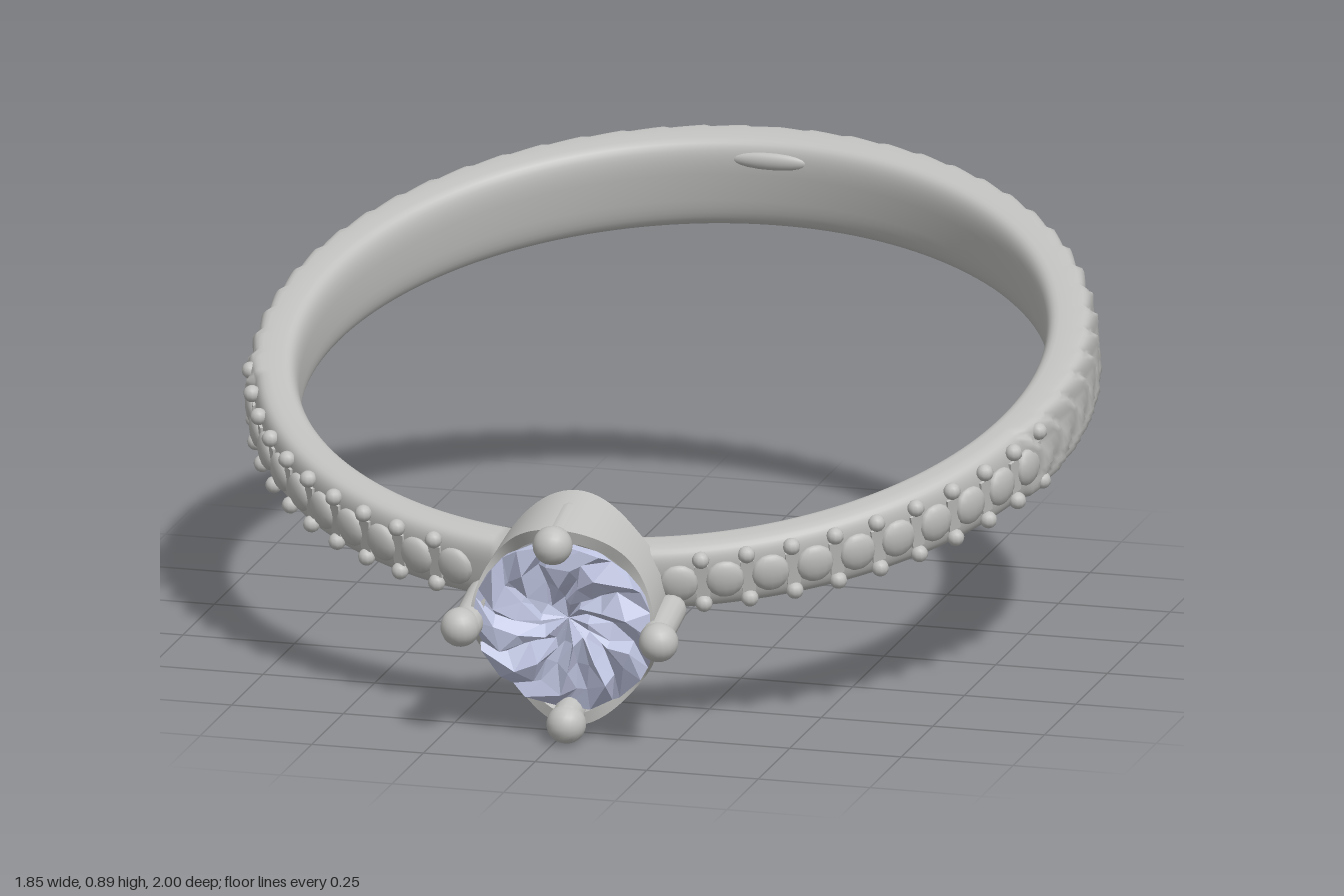
import * as THREE from 'three';
import { toCreasedNormals } from 'three/addons/utils/BufferGeometryUtils.js';

// Grid surface: point(i, j) for i in 0..nu, j wrapping or open in 0..nv
function loft(nu, nv, point, wrapV) {
  const pos = [], idx = [], cols = wrapV ? nv : nv + 1;
  for (let i = 0; i <= nu; i++) for (let j = 0; j < cols; j++) pos.push(...point(i, j));
  for (let i = 0; i < nu; i++) for (let j = 0; j < nv; j++) {
    const k = (j + 1) % cols;
    const a = i * cols + j, b = a + cols, c = i * cols + k, d = c + cols;
    idx.push(a, b, c, b, d, c);
  }
  const g = new THREE.BufferGeometry();
  g.setAttribute('position', new THREE.Float32BufferAttribute(pos, 3));
  g.setIndex(idx);
  g.computeVertexNormals();
  return g;
}

export function createModel() {
  const metal = new THREE.MeshStandardMaterial({ name: 'silver metal', color: 0xc0c0be });
  const gemMat = new THREE.MeshStandardMaterial({ name: 'pale blue gem', color: 0xbfc4e0, side: THREE.DoubleSide });
  const model = new THREE.Group();
  model.name = 'ring';

  // The whole ring leans: its back is raised and its head hangs low
  model.rotation.x = 0.25;
  model.position.set(0, 0.575, -0.1);
  const root = new THREE.Group();
  root.add(model);

  const add = (parent, name, geo, mat, x = 0, y = 0, z = 0) => {
    const m = new THREE.Mesh(geo, mat);
    m.name = name;
    m.position.set(x, y, z);
    parent.add(m);
    return m;
  };

  // Band: rounded section, wider at the back, with a woven pattern on the outside
  const halfHeight = (t) => 0.0915 - 0.016 * Math.cos(t);
  const spow = (v, e) => Math.sign(v) * Math.abs(v) ** e;
  const GAP = 0.15, PAVE = 1.27, NU = 360, NV = 40;
  const band = loft(NU, NV, (i, j) => {
    const t = GAP + (i / NU) * (2 * Math.PI - 2 * GAP);
    const a = (j / NV) * 2 * Math.PI;
    const end = i === 0 || i === NU ? 0 : 1;
    const fromFront = Math.min(t, 2 * Math.PI - t);
    const v = spow(Math.sin(a), 0.65);
    let r = 0.863 + end * 0.057 * spow(Math.cos(a), 0.5);
    if (Math.cos(a) > 0.1) {
      if (fromFront > PAVE) {
        const s = (fromFront / 0.1 + Math.abs(v) * 0.9 + (v > 0 ? 0.5 : 0)) % 1;
        r += 0.017 * (s - 0.65) * (0.4 + 0.6 * Math.abs(Math.sin(v * Math.PI)));
      } else r -= 0.014 * end;
    }
    return [r * Math.sin(t), end * halfHeight(t) * v, r * Math.cos(t)];
  }, true);
  add(model, 'band', band, metal);

  // Small raised lens on the inner back of the band
  add(model, 'innerMark', new THREE.SphereGeometry(1, 20, 12), metal, 0, 0.066, -0.812).scale.set(0.09, 0.02, 0.014);

  // Shoulders: rows of small round stones held by beads and bars
  const stoneGeo = new THREE.SphereGeometry(0.043, 12, 8);
  const beadGeo = new THREE.SphereGeometry(0.019, 10, 8);
  const barGeo = new THREE.BoxGeometry(0.03, 0.075, 0.03);
  for (const side of [-1, 1]) {
    for (let k = 0; k < 10; k++) {
      const t = 0.28 + k * 0.11;
      const stoneHolder = new THREE.Group();
      stoneHolder.name = 'shoulderStone';
      stoneHolder.rotation.y = side * t;
      add(stoneHolder, 'stone', stoneGeo, metal, 0, 0, 0.908).scale.set(1, 1, 0.42);
      model.add(stoneHolder);
      const beadHolder = new THREE.Group();
      beadHolder.name = 'shoulderBeads';
      beadHolder.rotation.y = side * (t + 0.055);
      const y = halfHeight(t) * 0.7;
      for (const s of [-1, 1]) add(beadHolder, 'bead', beadGeo, metal, 0, s * y, 0.91);
      add(beadHolder, 'bar', barGeo, metal, 0, 0, 0.896);
      model.add(beadHolder);
    }
  }

  // Head: its own group, facing forward
  const head = new THREE.Group();
  head.name = 'head';
  head.position.set(0.025, -0.052, 0);
  model.add(head);

  // Collar: open wall, pointed at top and bottom, scooped between the prongs
  const collar = loft(96, 4, (i, j) => {
    const a = -(i / 96) * 2 * Math.PI;
    const cusp = 0.035 * Math.abs(Math.sin(a)) ** 6;
    const scoop = Math.cos(2 * a) ** 2;
    const front = j === 1 || j === 2;
    const r = (j < 2 ? 0.208 : 0.18) + cusp - (front ? 0 : 0.012 * (1 - Math.abs(Math.sin(a))));
    const z = front ? 0.965 + 0.045 * scoop : 0.835 + 0.02 * (1 - scoop);
    return [r * Math.cos(a), r * Math.sin(a), z];
  }, true);
  // Turn the wall's faces outward
  const ids = collar.index.array;
  const p = collar.attributes.position;
  const va = new THREE.Vector3().fromBufferAttribute(p, ids[0]);
  const vb = new THREE.Vector3().fromBufferAttribute(p, ids[1]);
  const vc = new THREE.Vector3().fromBufferAttribute(p, ids[2]);
  if (vb.sub(va).cross(vc.sub(va)).dot(new THREE.Vector3(va.x, va.y, 0)) < 0) {
    for (let k = 0; k < ids.length; k += 3) [ids[k], ids[k + 1]] = [ids[k + 1], ids[k]];
  }
  add(head, 'collar', toCreasedNormals(collar, 0.7), metal);

  // Four prongs with round tips, and struts running back to the rosette
  const prongGeo = new THREE.CapsuleGeometry(0.034, 0.13, 6, 14).rotateX(Math.PI / 2);
  const tipGeo = new THREE.SphereGeometry(0.043, 18, 14);
  const strutGeo = new THREE.TubeGeometry(new THREE.CatmullRomCurve3([
    new THREE.Vector3(0.2, 0, 0.9), new THREE.Vector3(0.17, 0, 0.84), new THREE.Vector3(0.07, 0, 0.785),
  ]), 10, 0.024, 8);
  for (let k = 0; k < 4; k++) {
    const prong = new THREE.Group();
    prong.name = 'prong';
    prong.rotation.z = k * Math.PI / 2;
    add(prong, 'prongShaft', prongGeo, metal, 0.211, 0, 0.965);
    add(prong, 'prongTip', tipGeo, metal, 0.222, 0, 1.04);
    add(prong, 'strut', strutGeo, metal);
    head.add(prong);
  }

  // Gem: jagged sunken crown and a pointed underside, all in flat facets
  const radii = [0.001, 0.055, 0.105, 0.155, 0.202, 0.2, 0.045];
  const heights = [0.965, 0.985, 1.0, 1.015, 1.005, 0.985, 0.86];
  const jag = [0, 0.02, 0.028, 0.022, 0.012, 0, 0];
  const N = 28;
  const gem = loft(radii.length - 1, N, (i, j) => {
    const a = ((j + (i % 2) * 0.5 + 0.35 * Math.sin(j * 2.4 + i)) / N) * 2 * Math.PI;
    const z = heights[i] + jag[i] * Math.sin(j * 2.3 + i * 1.9);
    return [radii[i] * Math.cos(a), radii[i] * Math.sin(a), z];
  }, true).toNonIndexed();
  gem.computeVertexNormals();
  add(head, 'gem', gem, gemMat);

  // Rosette on the inner side, with a beaded rim and a centre knob
  const profile = [[0, 0.79], [0.1, 0.79], [0.118, 0.778], [0.112, 0.76], [0.095, 0.757], [0.04, 0.768], [0, 0.768]]
    .map(([r, z]) => new THREE.Vector2(r, -z));
  add(head, 'rosette', new THREE.LatheGeometry(profile, 40).rotateX(-Math.PI / 2), metal);
  const rimBead = new THREE.SphereGeometry(0.018, 8, 6);
  for (let k = 0; k < 20; k++) {
    const a = (k / 20) * 2 * Math.PI;
    add(head, 'rosetteBead', rimBead, metal, 0.112 * Math.cos(a), 0.112 * Math.sin(a), 0.77);
  }
  add(head, 'rosetteKnob', new THREE.SphereGeometry(0.024, 12, 8), metal, 0, 0, 0.762);
  add(head, 'stem', new THREE.CylinderGeometry(0.06, 0.06, 0.09, 20).rotateX(Math.PI / 2), metal, 0, 0, 0.825);

  return root;
}
